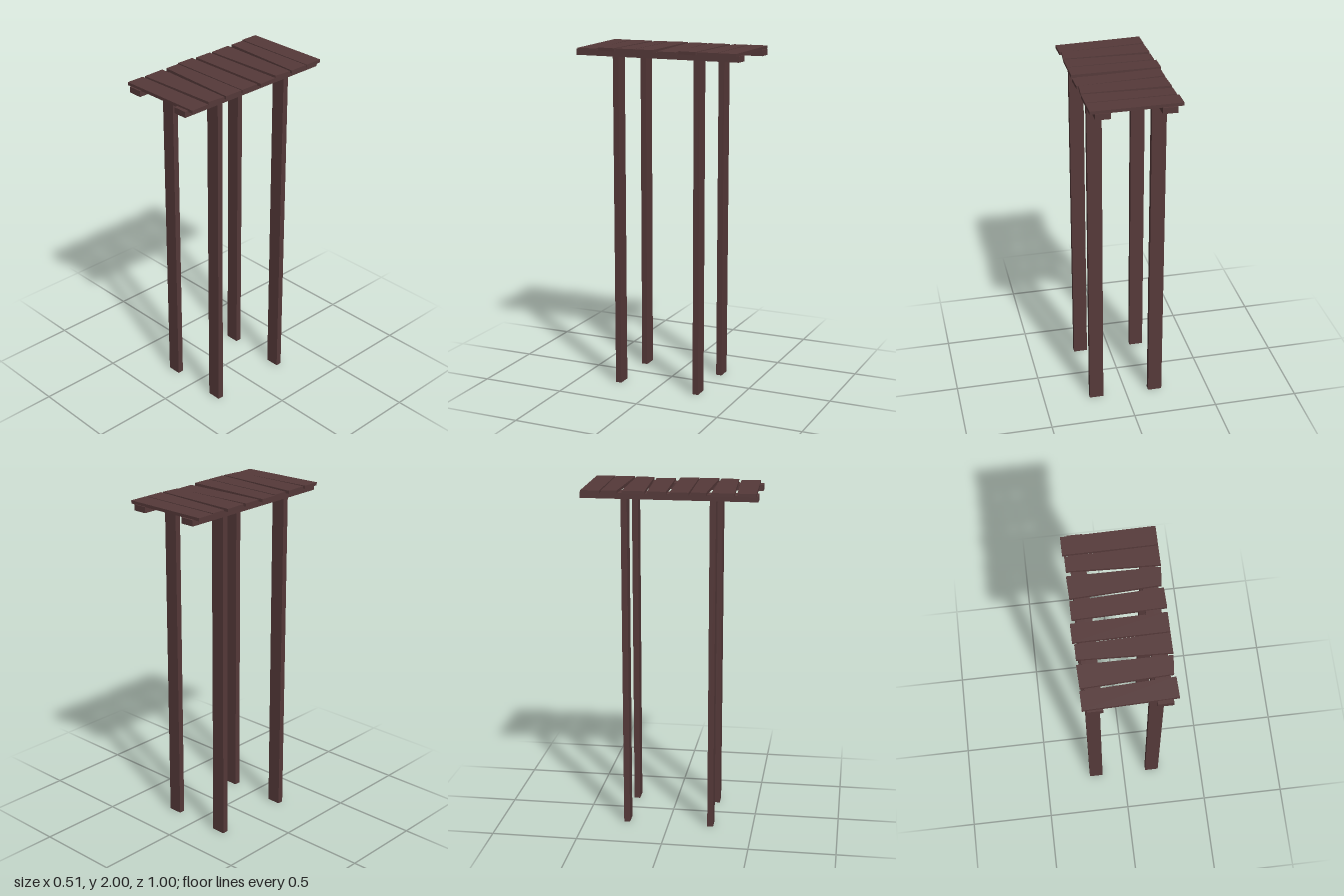
import * as THREE from 'three';

const wood = new THREE.MeshStandardMaterial({ color: 0x553939 });
wood.name = 'dark brown wood';

function box(name, x, y, z, w, h, d) {
  const mesh = new THREE.Mesh(new THREE.BoxGeometry(w, h, d), wood);
  mesh.name = name;
  mesh.position.set(x, y, z);
  return mesh;
}

// Uneven board: corners [x, z] run back left, back right, front right, front left;
// drop lowers the right end slightly.
function plank(corners, drop) {
  const geo = new THREE.BoxGeometry(1, 1, 1);
  const p = geo.attributes.position;
  for (let i = 0; i < p.count; i++) {
    const right = p.getX(i) > 0, front = p.getZ(i) > 0;
    const [x, z] = corners[front ? (right ? 2 : 3) : (right ? 1 : 0)];
    p.setXYZ(i, x, (p.getY(i) > 0 ? 2 : 1.982) - (right ? drop : 0), z);
  }
  geo.computeVertexNormals();
  const mesh = new THREE.Mesh(geo, wood);
  mesh.name = 'plank';
  return mesh;
}

export function createModel() {
  const group = new THREE.Group();
  group.name = 'plankWalkway';

  // Long beams, each standing on two flat posts
  for (const side of [-1, 1]) {
    const x = side < 0 ? -0.18 : 0.183;
    group.add(box('beam', x, 1.967, 0, 0.084, 0.034, 1));
    for (const z of [-0.25, 0.25]) group.add(box('post', x, 0.976, z, 0.083, 1.952, 0.035));
  }

  // Four crooked planks, repeated along the deck
  const planks = [
    [[[-0.257, 0.013], [0.254, 0.005], [0.254, 0.115], [-0.257, 0.119]], 0],
    [[[-0.247, 0.129], [0.254, 0.121], [0.254, 0.234], [-0.247, 0.215]], 0],
    [[[-0.249, 0.243], [0.253, 0.246], [0.243, 0.35], [-0.245, 0.372]], 0],
    [[[-0.247, 0.387], [0.253, 0.363], [0.256, 0.476], [-0.247, 0.492]], 0.006],
  ];
  for (const offset of [-0.5, 0]) {
    for (const [corners, drop] of planks) {
      const board = plank(corners, drop);
      board.position.z = offset;
      group.add(board);
    }
  }
  return group;
}
